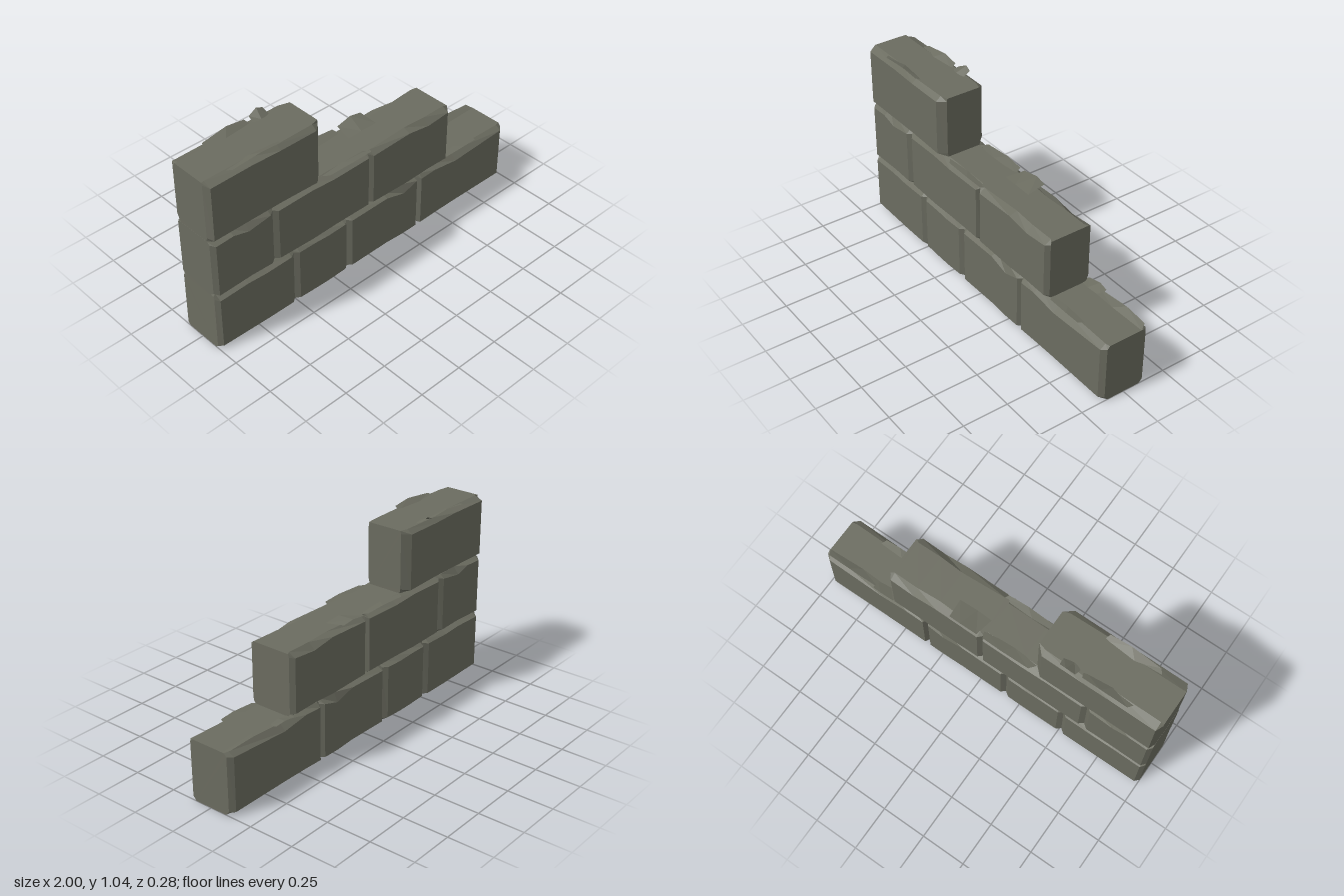
import * as THREE from 'three';

const stone = new THREE.MeshStandardMaterial({ color: 0x6b6c60, flatShading: true });
const shardStone = stone.clone();
shardStone.side = THREE.DoubleSide;

// Seeded generator for the hand-cut irregularity
function makeRandom(seed) {
  let s = seed * 7919 + 17;
  return () => (s = (s * 16807) % 2147483647) / 2147483647;
}

// Geometry from triangles given as corner indices
function mesh(name, points, faces, material) {
  const g = new THREE.BufferGeometry();
  g.setAttribute('position', new THREE.Float32BufferAttribute(points.flat(), 3));
  g.setIndex(faces);
  const flat = g.toNonIndexed();
  flat.computeVertexNormals();
  const m = new THREE.Mesh(flat, material);
  m.name = name;
  return m;
}

// Chamfered stone block: eight-sided rings lofted along x, closed by end caps.
// chip lowers the upper front and back edges at the middle; endZ is the cap half depth.
function block(name, { x0, x1, y0, y1, chip = 0.01, chipAt = 0.5, c0 = 0.03, c1 = 0.03, endZ = 0.115, seed }) {
  const rnd = makeRandom(seed);
  rnd();
  const w = x1 - x0;
  const stations = [
    [x0, endZ, 0.012], [x0 + c0, 0.138, 0.018], [x0 + w * (chipAt - 0.12), 0.138, 0.014],
    [x0 + w * (chipAt + 0.12), 0.138, 0.018 + chip], [x1 - c1, 0.138, 0.018], [x1, endZ, 0.012],
  ];
  const points = [];
  stations.forEach(([x, z, drop], i) => {
    const end = i === 0 || i === stations.length - 1;
    const t = Math.min(z - 0.004, 0.088 + rnd() * 0.03);
    const b = Math.min(z - 0.004, 0.088 + rnd() * 0.025);
    const top = drop + rnd() * 0.006, low = 0.014 + rnd() * 0.008;
    const lean = end ? (rnd() - 0.5) * 0.008 : 0;
    points.push(
      [x, y0, b], [x, y0 + low, z], [x + lean, y1 - top, z], [x + lean, y1, t],
      [x + lean, y1, -t], [x + lean, y1 - top, -z], [x, y0 + low, -z], [x, y0, -b],
    );
  });
  const faces = [];
  for (let s = 0; s < stations.length - 1; s++) {
    for (let k = 0; k < 8; k++) {
      const a = s * 8 + k, b = s * 8 + (k + 1) % 8;
      faces.push(a, a + 8, b, b, a + 8, b + 8);
    }
  }
  const last = (stations.length - 1) * 8;
  for (let k = 1; k < 7; k++) {
    faces.push(0, k, k + 1);
    faces.push(last, last + k + 1, last + k);
  }
  return mesh(name, points, faces, stone);
}

// Thin flake on a block's top: an inner edge on the stone, an outer edge flaring upward
function flake(name, x0, x1, y, zIn, zOut, rise) {
  const w = x1 - x0;
  const points = [
    [x0, y, zIn], [x0 + w * 0.45, y + 0.004, zIn * 0.92], [x1, y, zIn],
    [x0 + w * 0.1, y + rise * 0.35, zOut * 0.96], [x0 + w * 0.6, y + rise, zOut], [x1 - w * 0.05, y + rise * 0.6, zOut * 0.97],
  ];
  return mesh(name, points, [0, 3, 1, 1, 3, 4, 1, 4, 2, 2, 4, 5], shardStone);
}

export function createModel() {
  const wall = new THREE.Group();
  wall.name = 'steppedStoneWall';

  const courses = [
    ['bottomCourse', 0, 0.335, [
      { x0: -1, x1: -0.505, c0: 0.02, chip: 0.004 },
      { x0: -0.515, x1: -0.15, chip: 0.006 },
      { x0: -0.155, x1: 0.35, c0: 0.025, c1: 0.02, chip: 0.025, chipAt: 0.65 },
      { x0: 0.35, x1: 1, c0: 0.015, c1: 0.025, chip: 0.018, chipAt: 0.3 },
    ]],
    ['middleCourse', 0.335, 0.67, [
      { x0: -1, x1: -0.625, c0: 0.02, chip: 0.018, chipAt: 0.45 },
      { x0: -0.635, x1: -0.005, c1: 0.015, chip: 0.006 },
      { x0: -0.01, x1: 0.562, c0: 0.025, c1: 0.02, chip: 0.015, chipAt: 0.6 },
    ]],
    ['topCourse', 0.67, 1.012, [
      { x0: -1, x1: -0.32, c0: 0.015, c1: 0.04, chip: 0.004, endZ: 0.1 },
    ]],
  ];
  let seed = 1;
  for (const [name, y0, y1, blocks] of courses) {
    const course = new THREE.Group();
    course.name = name;
    blocks.forEach((spec, i) => course.add(block(`stoneBlock${i + 1}`, { ...spec, y0, y1, seed: seed++ })));
    wall.add(course);
  }

  // Loose flakes on the exposed ledges
  const flakes = new THREE.Group();
  flakes.name = 'flakes';
  flakes.add(
    flake('topFrontFlake', -0.88, -0.55, 1.006, 0.085, 0.128, 0.026),
    flake('topBackFlake', -0.85, -0.56, 1.006, -0.085, -0.13, 0.028),
    flake('topBackChip', -0.55, -0.45, 1.01, -0.09, -0.138, 0.034),
    flake('middleBackFlake', -0.32, 0.0, 0.668, -0.09, -0.138, 0.016),
    flake('middleLedgeFlake', 0.0, 0.19, 0.67, -0.03, -0.14, 0.024),
    flake('middleFrontFlake', -0.3, 0.02, 0.668, 0.1, 0.132, 0.008),
    flake('bottomLedgeFlake', 0.54, 0.69, 0.335, -0.09, -0.142, 0.02),
    flake('bottomBackFlake', 0.62, 1.0, 0.335, -0.09, -0.128, 0.022),
    flake('bottomFrontFlake', 0.55, 0.8, 0.335, 0.09, 0.125, 0.008),
  );
  wall.add(flakes);
  return wall;
}
